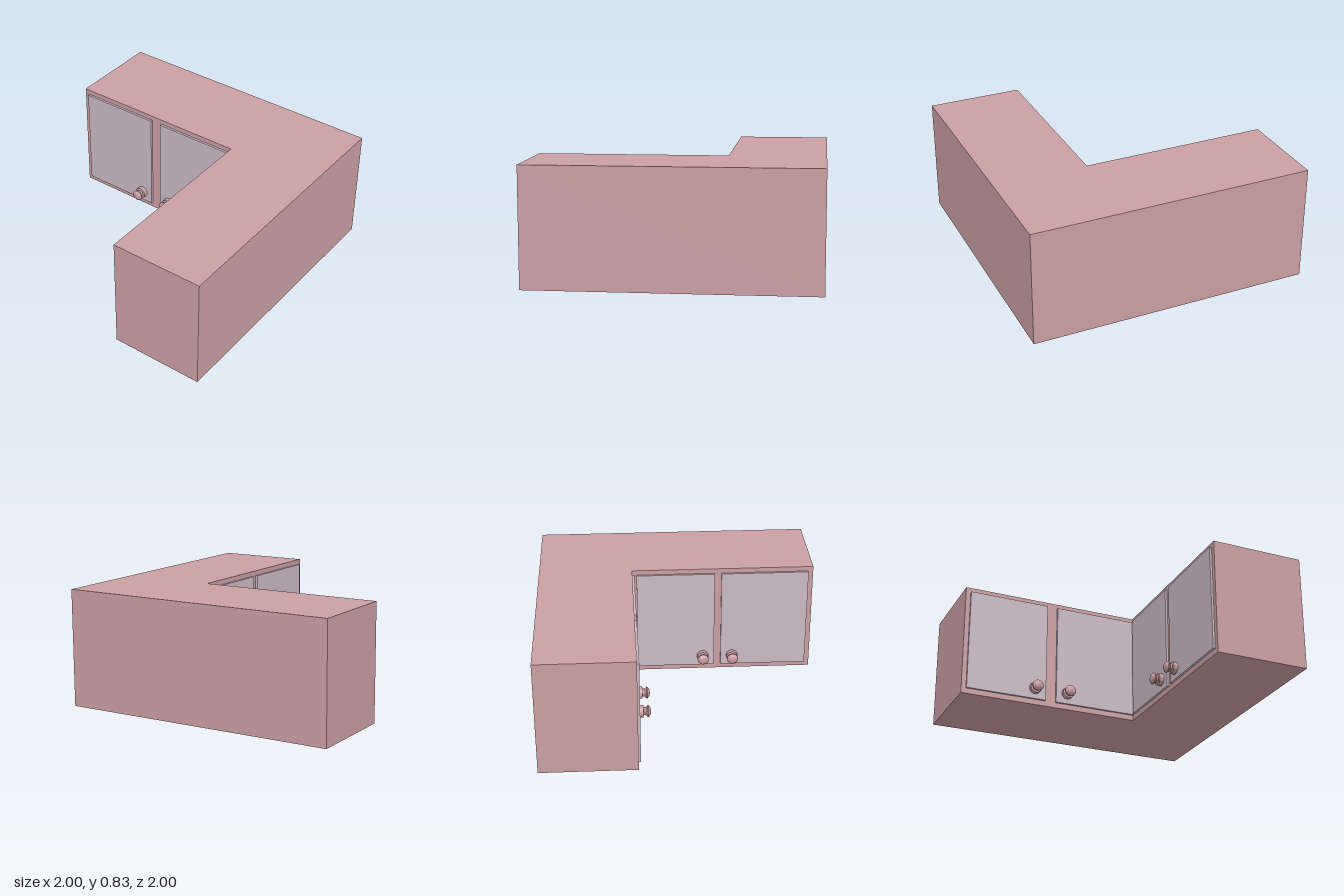
import * as THREE from 'three';

const pink = new THREE.MeshStandardMaterial({ name: 'dustyPink', color: 0xcb9fa3 });
const lilac = new THREE.MeshStandardMaterial({ name: 'paleLilac', color: 0xcabac4 });
const knobPink = pink.clone();
knobPink.flatShading = true;

const H = 0.83;       // cabinet height
const INNER = 0.327;  // distance of the two inner walls from the centre
const T = 0.016;      // door thickness

function add(parent, geometry, material, name) {
  const mesh = new THREE.Mesh(geometry, material);
  mesh.name = name;
  parent.add(mesh);
  return mesh;
}

// Turned knob with base, neck and pointed head, axis along +z
function knobGeometry() {
  const profile = [
    [0, 0], [0.043, 0], [0.043, 0.033], [0.028, 0.035], [0.028, 0.05],
    [0.042, 0.062], [0.042, 0.068], [0.024, 0.083], [0, 0.087],
  ].map(([r, y]) => new THREE.Vector2(r, y));
  return new THREE.LatheGeometry(profile, 12).rotateX(Math.PI / 2);
}

// Doors and knobs of one wing, on a wall facing +z at z = 0
function makeDoors(name, doors, knobs) {
  const wing = new THREE.Group();
  wing.name = name;
  for (const [x0, x1] of doors) {
    const door = add(wing, new THREE.BoxGeometry(x1 - x0, 0.755, T), lilac, 'door');
    door.position.set((x0 + x1) / 2, 0.417, T / 2);
  }
  for (const x of knobs) {
    add(wing, knobGeometry(), knobPink, 'knob').position.set(x, 0.117, T);
  }
  return wing;
}

export function createModel() {
  const model = new THREE.Group();
  model.name = 'cornerCabinet';

  // L-shaped body, drawn in plan with y = -z
  const plan = new THREE.Shape([
    [-1, 1], [-1, INNER], [INNER, INNER], [INNER, -1], [1, -1], [1, 1],
  ].map(([x, y]) => new THREE.Vector2(x, y)));
  const body = new THREE.ExtrudeGeometry(plan, { depth: H, bevelEnabled: false });
  body.rotateX(-Math.PI / 2);
  add(model, body, pink, 'cabinetBody');

  // Back wing, facing the front
  const back = makeDoors('backWingDoors', [[-0.965, -0.37], [-0.29, 0.325]], [-0.455, -0.205]);
  back.position.z = -INNER;
  model.add(back);

  // Side wing, facing -x (local x runs along +z)
  const side = makeDoors('sideWingDoors', [[-0.295, 0.277], [0.327, 0.965]], [0.192, 0.412]);
  side.rotation.y = -Math.PI / 2;
  side.position.x = INNER;
  model.add(side);

  return model;
}
